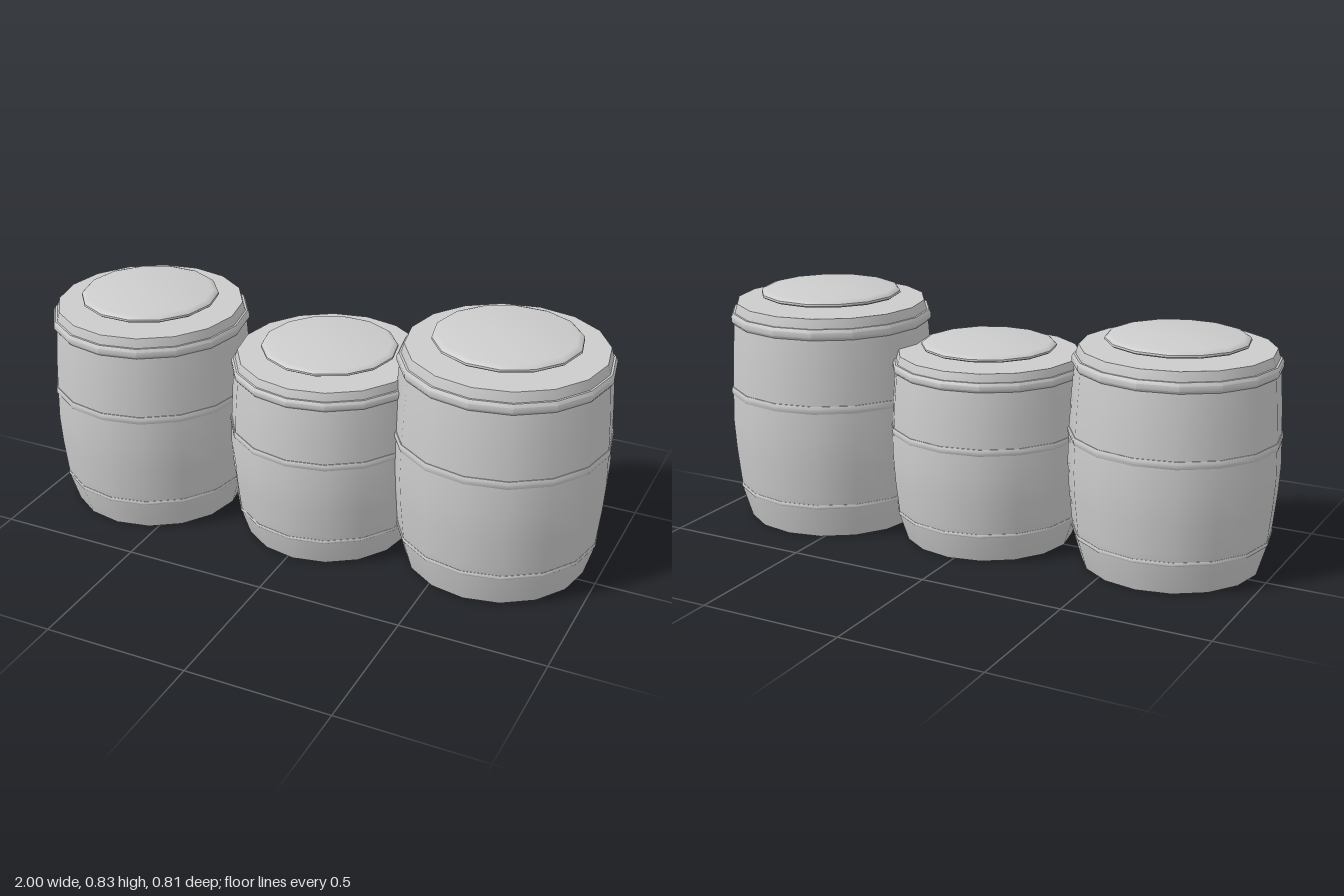
import * as THREE from 'three';
import { toCreasedNormals } from 'three/addons/utils/BufferGeometryUtils.js';

const grey = new THREE.MeshStandardMaterial({ color: 0xcccccc });
grey.name = 'plain grey';

// Turn a bottom-to-top profile of [radius, height] pairs around the y axis
function turned(name, profile, sides) {
  const points = profile.map(([r, y]) => new THREE.Vector2(r, y));
  const geometry = toCreasedNormals(new THREE.LatheGeometry(points, sides), 0.6);
  const mesh = new THREE.Mesh(geometry, grey);
  mesh.name = name;
  return mesh;
}

// Rounded band around the body, sunk slightly into it
function hoop(name, bottom, top, r, bulge) {
  const h = top - bottom;
  return turned(name, [
    [r - 0.02, bottom],
    [r + bulge * 0.4, bottom],
    [r + bulge, bottom + h * 0.25],
    [r + bulge, bottom + h * 0.7],
    [r + bulge * 0.4, top],
    [r - 0.02, top],
  ], 16);
}

function barrel(name) {
  const group = new THREE.Group();
  group.name = name;

  // Bulging body with closed ends
  group.add(turned('body', [
    [0, 0], [0.312, 0], [0.341, 0.1], [0.347, 0.15], [0.358, 0.26], [0.364, 0.36],
    [0.361, 0.47], [0.356, 0.59], [0.348, 0.7], [0.342, 0.755], [0.333, 0.785], [0, 0.785],
  ], 16));

  // Hoops
  group.add(hoop('lowerHoop', 0.112, 0.126, 0.344, 0.003));
  group.add(hoop('middleHoop', 0.46, 0.487, 0.361, 0.005));
  group.add(hoop('upperHoop', 0.714, 0.752, 0.345, 0.011));

  // Disc lid hovering just above the body
  const lid = turned('lid', [
    [0, 0.803], [0.24, 0.803], [0.247, 0.808], [0.246, 0.815],
    [0.239, 0.822], [0.226, 0.826], [0, 0.826],
  ], 14);
  lid.rotation.y = Math.PI / 2;
  group.add(lid);
  return group;
}

export function createModel() {
  const model = new THREE.Group();
  model.name = 'barrels';

  // name, x, z, width scale, height scale
  const layout = [
    ['rightBarrel', -0.647, 0.05, 0.967, 0.943],
    ['middleBarrel', 0.02, 0, 0.94, 0.837],
    ['leftBarrel', 0.632, -0.044, 1, 1],
  ];
  for (const [name, x, z, width, height] of layout) {
    const b = barrel(name);
    b.position.set(x, 0, z);
    b.scale.set(width, height, width);
    model.add(b);
  }
  return model;
}
